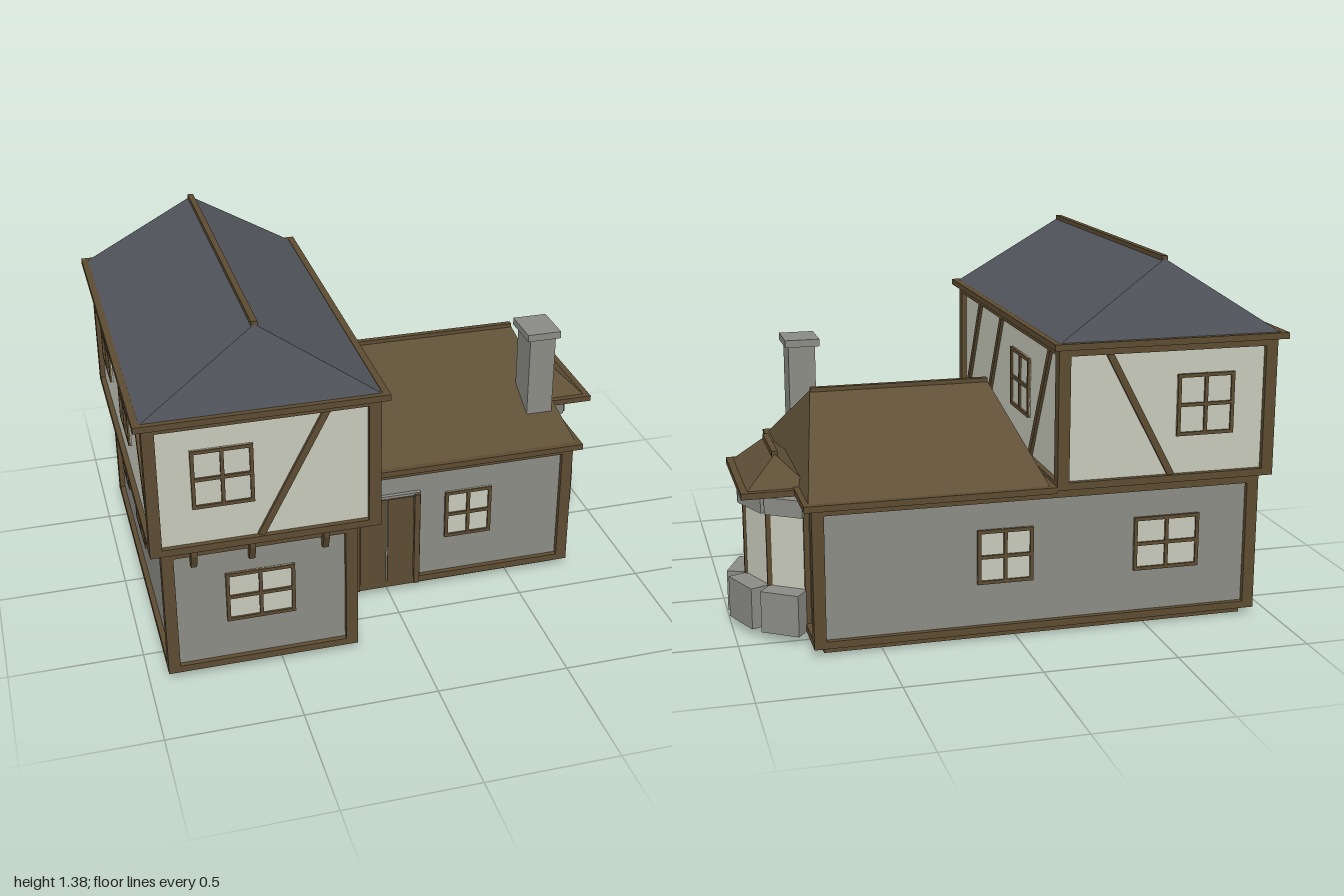
import * as THREE from 'three';
import { ConvexGeometry } from 'three/addons/geometries/ConvexGeometry.js';

const mat = (name, color) => {
  const m = new THREE.MeshStandardMaterial({ color });
  m.name = name;
  return m;
};

export function createModel() {
  const root = new THREE.Group();
  root.name = 'house';
  const stone = mat('grey stone', 0x8a8b85);
  const plaster = mat('cream plaster', 0xc6c8ba);
  const timber = mat('brown timber', 0x5c4b31);
  const slate = mat('blue slate', 0x50545a);
  const thatch = mat('brown roofing', 0x5f5037);

  const group = (name, parent = root) => {
    const g = new THREE.Group();
    g.name = name;
    parent.add(g);
    return g;
  };
  const add = (parent, name, geo, material) => {
    const m = new THREE.Mesh(geo, material);
    m.name = name;
    parent.add(m);
    return m;
  };
  // Box given by its extents
  const box = (parent, name, material, x0, x1, y0, y1, z0, z1) => {
    const m = add(parent, name, new THREE.BoxGeometry(x1 - x0, y1 - y0, z1 - z0), material);
    m.position.set((x0 + x1) / 2, (y0 + y1) / 2, (z0 + z1) / 2);
    return m;
  };
  // Upright slab standing on the line a-b, reaching inward and outward from it
  const segment = (parent, name, material, a, b, y0, y1, inner, outer, extra = 0) => {
    const dx = b[0] - a[0], dz = b[1] - a[1];
    const geo = new THREE.BoxGeometry(Math.hypot(dx, dz) + extra, y1 - y0, inner + outer);
    geo.translate(0, 0, (outer - inner) / 2);
    const m = add(parent, name, geo, material);
    m.position.set((a[0] + b[0]) / 2, (y0 + y1) / 2, (a[1] + b[1]) / 2);
    m.rotation.y = Math.atan2(-dz, dx);
    return m;
  };
  // Flat outline of [x, z] points raised from y0 to y1
  const prism = (parent, name, material, pts, y0, y1) => {
    const shape = new THREE.Shape(pts.map(([x, z]) => new THREE.Vector2(x, -z)));
    const geo = new THREE.ExtrudeGeometry(shape, { depth: y1 - y0, bevelEnabled: false });
    geo.rotateX(-Math.PI / 2);
    add(parent, name, geo, material).position.y = y0;
  };
  // Closed ring of beams along an outline
  const ring = (parent, name, pts, y0, y1, t) =>
    pts.forEach((p, i) => segment(parent, name, timber, p, pts[(i + 1) % pts.length], y0, y1, t / 2, t / 2, t));

  const rect = (x0, x1, z0, z1) => (i) =>
    [[x0 + i, z1 - i], [x1 - i, z1 - i], [x1 - i, z0 + i], [x0 + i, z0 + i]];
  const groundPlan = (i) => [
    [-0.93 + i, 0.68 - i], [-0.215 - i, 0.68 - i], [-0.215 - i, 0.36 - i],
    [0.75 - i, 0.36 - i], [0.75 - i, -0.68 + i], [-0.93 + i, -0.68 + i]];
  const upperPlan = rect(-0.97, -0.135, -0.71, 0.71);

  // Storey: walls, corner posts, sill and head beams
  const storey = (name, plan, y0, y1, wall) => {
    const g = group(name);
    prism(g, 'walls', wall, plan(0.02), y0 + 0.004, y1 - 0.004);
    ring(g, 'sillBeam', plan(0.016), y0, y0 + 0.027, 0.032);
    ring(g, 'headBeam', plan(0.016), y1 - 0.035, y1, 0.032);
    for (const [x, z] of plan(0.022))
      box(g, 'cornerPost', timber, x - 0.022, x + 0.022, y0, y1, z - 0.022, z + 0.022);
  };
  prism(root, 'foundation', timber, groundPlan(0.04), 0, 0.035);
  storey('groundFloor', groundPlan, 0.03, 0.56, stone);
  storey('upperFloor', upperPlan, 0.56, 1.085, plaster);
  prism(root, 'jettyFloor', timber, upperPlan(0.01), 0.557, 0.57);

  // Holder on a wall face; u runs to the viewer's right
  const FACES = { front: 0, right: Math.PI / 2, back: Math.PI, left: -Math.PI / 2 };
  const onWall = (name, face, u, y, dist) => {
    const g = group(name);
    const a = FACES[face];
    g.position.set(u * Math.cos(a) + dist * Math.sin(a), y, -u * Math.sin(a) + dist * Math.cos(a));
    g.rotation.y = a;
    return g;
  };

  // Windows: pane, frame and cross bars
  const windowAt = (face, u, y, dist, w, h) => {
    const g = onWall('window', face, u, y, dist);
    const f = 0.013, d = 0.012;
    box(g, 'pane', plaster, -w / 2, w / 2, -h / 2, h / 2, 0, 0.004);
    for (const s of [-1, 0, 1]) {
      const cx = s * (w - f) / 2, cy = s * (h - f) / 2;
      box(g, 'upright', timber, cx - f / 2, cx + f / 2, -h / 2, h / 2, 0, d);
      box(g, 'crossbar', timber, -w / 2, w / 2, cy - f / 2, cy + f / 2, 0, d);
    }
  };
  for (const [face, u, dist, w] of [
    ['front', -0.575, 0.66, 0.255], ['front', 0.325, 0.34, 0.19],
    ['back', 0.575, 0.66, 0.255], ['back', -0.045, 0.66, 0.21],
    ['left', -0.435, 0.91, 0.19], ['left', -0.01, 0.91, 0.25]])
    windowAt(face, u, 0.318, dist, w, 0.205);
  for (const [face, u, dist] of [
    ['front', -0.70, 0.69], ['back', 0.70, 0.69], ['right', 0.183, -0.155],
    ['left', -0.45, 0.95], ['left', 0.08, 0.95]])
    windowAt(face, u, 0.845, dist, face === 'front' || face === 'back' ? 0.22 : 0.24, 0.23);

  // Diagonal braces of the upper floor
  for (const [face, u, dist, lean] of [
    ['front', -0.45, 0.69, 1], ['back', 0.45, 0.69, -1], ['left', 0.52, 0.95, -1],
    ['right', -0.52, -0.155, 1], ['right', -0.20, -0.155, 1], ['right', 0.44, -0.155, 1]]) {
    const g = onWall('diagonalBrace', face, u, 0.818, dist);
    const b = box(g, 'brace', timber, -0.0125, 0.0125, -0.262, 0.262, -0.01, 0.012);
    b.rotation.z = -lean * Math.atan2(0.24, 0.455);
  }

  // Wedge brackets under the overhang
  const bracket = (face, u, dist, reach) => {
    const g = onWall('bracket', face, u, 0.56, dist);
    const s = new THREE.Shape();
    s.moveTo(-0.03, 0);
    s.lineTo(reach, 0);
    s.lineTo(reach, -0.022);
    s.lineTo(0.012, -0.08);
    s.lineTo(-0.03, -0.08);
    const geo = new THREE.ExtrudeGeometry(s, { depth: 0.022, bevelEnabled: false });
    geo.rotateY(-Math.PI / 2);
    geo.translate(0.011, 0, 0);
    add(g, 'wedge', geo, timber);
  };
  for (const x of [-0.815, -0.605, -0.335]) bracket('front', x, 0.67, 0.035);
  for (const z of [-0.55, -0.18, 0.18, 0.55]) bracket('left', z, 0.92, 0.03);
  bracket('right', -0.55, -0.225, 0.06);

  // Double door with a stone surround
  const door = onWall('door', 'front', -0.01, 0.03, 0.34);
  box(door, 'backing', stone, -0.137, 0.137, 0, 0.415, 0, 0.016);
  box(door, 'leftLeaf', timber, -0.108, -0.003, 0, 0.404, 0, 0.022);
  box(door, 'rightLeaf', timber, 0.003, 0.108, 0, 0.404, 0, 0.022);
  for (const s of [-1, 1])
    box(door, 'jamb', timber, s * 0.122 - 0.011, s * 0.122 + 0.011, 0, 0.409, 0, 0.026);

  // Hipped roof with eaves and ridge beam, p and q being the ridge ends [x, z]
  const hipRoof = (name, material, [x0, x1, z0, z1], y0, y1, p, q) => {
    const g = group(name);
    const base = rect(x0, x1, z0, z1);
    const pts = base(0.018).map(([x, z]) => new THREE.Vector3(x, y0 + 0.016, z));
    for (const [x, z] of [p, q]) pts.push(new THREE.Vector3(x, y1, z));
    add(g, 'roofSlopes', new ConvexGeometry(pts), material);
    ring(g, 'eaves', base(0.0125), y0, y0 + 0.023, 0.025);
    segment(g, 'ridgeBeam', timber, p, q, y1 - 0.01, y1 + 0.01, 0.011, 0.011);
  };
  hipRoof('towerRoof', slate, [-1, -0.11, -0.74, 0.74], 1.078, 1.37, [-0.555, -0.62], [-0.555, 0.62]);
  hipRoof('wingRoof', thatch, [-0.135, 0.78, -0.71, 0.385], 0.55, 0.855, [-0.02, -0.163], [0.665, -0.163]);
  hipRoof('bayRoof', thatch, [0.69, 0.97, -0.49, 0.01], 0.546, 0.675, [0.83, -0.37], [0.83, -0.11]);

  // Chimney
  const chimney = group('chimney');
  box(chimney, 'stack', stone, 0.603, 0.707, 0.58, 0.975, 0.085, 0.22);
  box(chimney, 'cap', stone, 0.587, 0.721, 0.972, 1.0, 0.068, 0.235);

  // Bay window: stone base, panes, lintel and posts on a faceted curve
  const bay = group('bayWindow');
  const line = [[0.74, 0], [0.865, -0.085], [0.93, -0.24], [0.865, -0.395], [0.74, -0.48]];
  prism(bay, 'bayFloor', timber, line, 0.032, 0.05);
  for (let i = 0; i < 4; i++) {
    const a = line[i], b = line[i + 1];
    segment(bay, 'baseBlock', stone, a, b, 0.03, 0.187, 0.02, 0.08);
    segment(bay, 'bayPane', plaster, a, b, 0.18, 0.48, 0.004, 0.004);
    segment(bay, 'lintel', stone, a, b, 0.465, 0.53, 0.02, 0.03);
  }
  for (const [x, z] of line)
    box(bay, 'bayPost', timber, x - 0.01, x + 0.01, 0.04, 0.55, z - 0.01, z + 0.01);

  return root;
}
